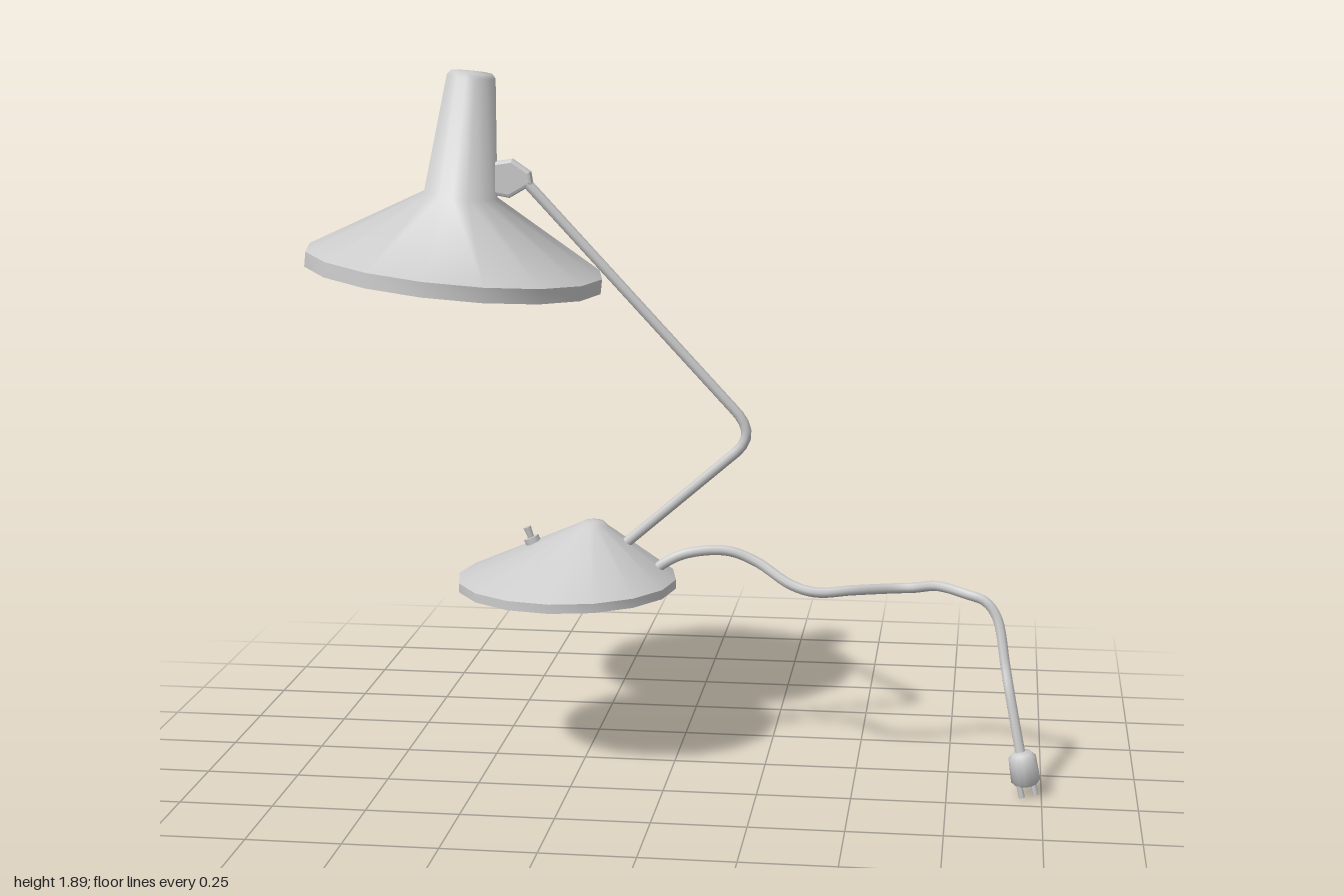
import * as THREE from 'three';
import { toCreasedNormals } from 'three/addons/utils/BufferGeometryUtils.js';

const material = new THREE.MeshStandardMaterial({ color: 0xcccccc, side: THREE.DoubleSide });
const v3 = (p) => new THREE.Vector3(...p);

function part(name, geometry, parent) {
  const mesh = new THREE.Mesh(geometry, material);
  mesh.name = name;
  parent.add(mesh);
  return mesh;
}

function lathe(points, sides) {
  return new THREE.LatheGeometry(points.map(([r, y]) => new THREE.Vector2(r, y)), sides);
}

// Straight round bar between two points
function bar(name, a, b, r0, r1, sides, parent) {
  const from = v3(a), dir = v3(b).sub(from);
  const mesh = part(name, new THREE.CylinderGeometry(r1, r0, dir.length(), sides), parent);
  mesh.position.copy(from).addScaledVector(dir, 0.5);
  mesh.quaternion.setFromUnitVectors(new THREE.Vector3(0, 1, 0), dir.normalize());
  return mesh;
}

export function createModel() {
  const lamp = new THREE.Group();
  lamp.name = 'deskLamp';

  // Base: a low cone whose peak leans toward the arm
  const base = lathe([[0, 0.49], [0.3, 0.49], [0.3, 0.515], [0.045, 0.66], [0.028, 0.672], [0, 0.676]], 16);
  const pos = base.attributes.position;
  for (let i = 0; i < pos.count; i++) {
    const lift = Math.max(0, pos.getY(i) - 0.515) / 0.16;
    pos.setX(i, pos.getX(i) + lift * 0.075);
  }
  part('base', toCreasedNormals(base, 0.7), lamp).position.x = -0.297;

  // Toggle switch, square to the slope of the base
  const toggle = new THREE.Group();
  toggle.name = 'toggleSwitch';
  lamp.add(toggle);
  bar('switchCollar', [-0.385, 0.595, 0], [-0.396, 0.622, 0], 0.021, 0.021, 10, toggle);
  bar('switchLever', [-0.394, 0.615, 0], [-0.407, 0.65, 0], 0.008, 0.011, 8, toggle);

  // Bent arm: two straight runs joined by a rounded elbow
  const arm = new THREE.CurvePath();
  const low = v3([-0.15, 0.6, 0]), elbowIn = v3([0.165, 0.873, 0]);
  const elbowOut = v3([0.165, 0.985, 0]), high = v3([-0.41, 1.605, 0]);
  arm.add(new THREE.LineCurve3(low, elbowIn));
  arm.add(new THREE.QuadraticBezierCurve3(elbowIn, v3([0.222, 0.923, 0]), elbowOut));
  arm.add(new THREE.LineCurve3(elbowOut, high));
  part('arm', new THREE.TubeGeometry(arm, 60, 0.014, 8), lamp);

  // Flat joint plate between arm and shade
  const plate = new THREE.Shape([
    [-0.5, 1.57], [-0.445, 1.56], [-0.39, 1.592], [-0.394, 1.616], [-0.437, 1.645], [-0.5, 1.635],
  ].map(([x, y]) => new THREE.Vector2(x, y)));
  const joint = new THREE.ExtrudeGeometry(plate, {
    depth: 0.012, bevelEnabled: true, bevelThickness: 0.008, bevelSize: 0.009, bevelSegments: 2,
  });
  part('joint', joint, lamp).position.z = -0.006;

  // Tilted shade with its bulb
  const shade = new THREE.Group();
  shade.name = 'shadeGroup';
  shade.position.set(-0.6, 1.338, 0);
  shade.rotation.z = -0.106;
  lamp.add(shade);
  const cone = lathe([[0.402, 0], [0.402, 0.04], [0.1, 0.22], [0.066, 0.535], [0.056, 0.547], [0, 0.551]], 16);
  part('shade', toCreasedNormals(cone, 0.97), shade);
  part('bulb', new THREE.SphereGeometry(0.092, 20, 14), shade).position.y = 0.145;
  part('bulbSocket', new THREE.CylinderGeometry(0.045, 0.045, 0.12, 14), shade).position.y = 0.27;

  // Wavy cord running out of the base and down to the plug
  const cordPath = [
    [-0.06, 0.535, 0], [-0.03, 0.56, 0], [0.03, 0.588, -0.005], [0.14, 0.596, -0.018],
    [0.22, 0.57, -0.012], [0.32, 0.517, 0.025], [0.39, 0.502, 0.038], [0.48, 0.505, 0.015],
    [0.6, 0.497, -0.053], [0.645, 0.5, -0.052], [0.71, 0.517, -0.015], [0.79, 0.51, 0.035],
    [0.84, 0.495, 0.047], [0.872, 0.455, 0.058], [0.897, 0.335, 0.095], [0.91, 0.27, 0.125],
    [0.943, 0.11, 0.165],
  ].map(v3);
  part('cord', new THREE.TubeGeometry(new THREE.CatmullRomCurve3(cordPath), 90, 0.014, 8), lamp);

  // Plug body and its two prongs
  const plug = new THREE.Group();
  plug.name = 'plug';
  plug.position.set(0.952, 0.077, 0.169);
  plug.rotation.set(0.1, 0, 0.16);
  lamp.add(plug);
  const body = lathe([[0, -0.043], [0.032, -0.043], [0.039, -0.034], [0.037, 0.03], [0.026, 0.043], [0, 0.045]], 14);
  part('plugBody', toCreasedNormals(body, 0.9), plug);
  for (const s of [-1, 1]) {
    bar('prong', [0.957 + s * 0.018, 0.045, 0.172 - s * 0.014],
      [0.967 + s * 0.018, 0.001, 0.175 - s * 0.014], 0.008, 0.008, 8, lamp);
  }
  return lamp;
}
